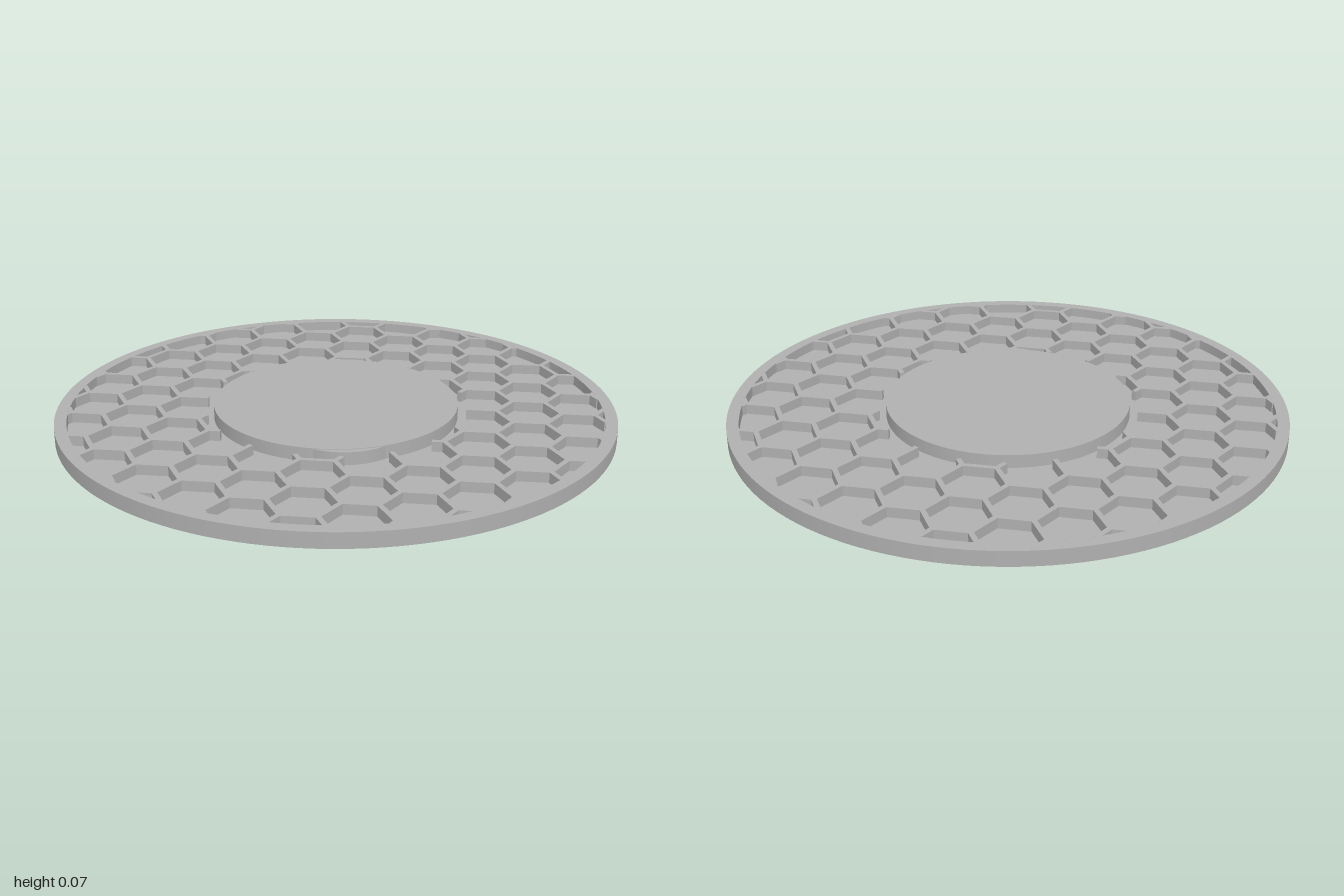
import * as THREE from 'three';
import { mergeGeometries } from 'three/addons/utils/BufferGeometryUtils.js';

const FLOOR = 0.018, RIM_TOP = 0.054, DISC_TOP = 0.066;
const RIM_INNER = 0.957, RIB_INNER = 0.47;
const PITCH = 0.2, SIDE = PITCH / Math.sqrt(3), HALF = 0.009;

// Revolve a profile, one band per segment, so its corners stay sharp
function revolve(profile, segments = 128) {
  const bands = [];
  for (let i = 0; i < profile.length - 1; i++) {
    const pts = [profile[i], profile[i + 1]].map(([r, y]) => new THREE.Vector2(r, y));
    bands.push(new THREE.LatheGeometry(pts, segments));
  }
  return mergeGeometries(bands);
}

const inRing = (p) => p.length() >= RIB_INNER && p.length() <= RIM_INNER + 0.004;

// Pull point p back towards q until it lies inside the honeycomb ring
function clip(p, q) {
  if (inRing(p)) return p;
  let lo = 0, hi = 1;
  for (let i = 0; i < 24; i++) {
    const t = (lo + hi) / 2;
    if (inRing(p.clone().lerp(q, t))) hi = t; else lo = t;
  }
  return p.clone().lerp(q, hi);
}

// One wall of a cell, with mitred ends that meet its neighbours at 120 degrees
function rib(p, q) {
  if (!inRing(p) && !inRing(q)) return null;
  const a = clip(p, q), b = clip(q, p);
  const u = b.clone().sub(a).normalize();
  const n = new THREE.Vector2(-u.y, u.x).multiplyScalar(HALF);
  const miter = HALF / Math.sqrt(3);
  const a2 = a.clone().addScaledVector(u, a === p ? miter : 0);
  const b2 = b.clone().addScaledVector(u, b === q ? -miter : 0);
  const shape = new THREE.Shape([
    a, a2.clone().sub(n), b2.clone().sub(n), b, b2.clone().add(n), a2.clone().add(n),
  ]);
  return new THREE.ExtrudeGeometry(shape, { depth: RIM_TOP - FLOOR, bevelEnabled: false });
}

function honeycomb() {
  const walls = [];
  for (let i = -7; i <= 7; i++) {
    for (let j = -7; j <= 7; j++) {
      const cx = i * SIDE * 1.5;
      const cy = (j + (i % 2 ? 0.5 : 0)) * PITCH;
      const corner = (k) => new THREE.Vector2(
        cx + SIDE * Math.cos(k * Math.PI / 3), cy + SIDE * Math.sin(k * Math.PI / 3));
      // Three walls per cell cover every shared wall once
      for (let k = 0; k < 3; k++) {
        const wall = rib(corner(k), corner(k + 1));
        if (wall) walls.push(wall);
      }
    }
  }
  return mergeGeometries(walls).rotateX(-Math.PI / 2).translate(0, FLOOR, 0);
}

export function createModel() {
  const group = new THREE.Group();
  const grey = new THREE.MeshStandardMaterial({ color: 0xb0b0b0 });
  grey.name = 'grey';
  const add = (name, geometry) => {
    const mesh = new THREE.Mesh(geometry, grey);
    mesh.name = name;
    group.add(mesh);
    return mesh;
  };

  // Round tray with a raised rim
  add('tray', revolve([
    [0, 0], [1, 0], [1, RIM_TOP], [RIM_INNER, RIM_TOP], [RIM_INNER, FLOOR], [0, FLOOR],
  ]));

  // Hexagonal ribs between the rim and the centre
  add('honeycombRibs', honeycomb());

  // Raised centre disc, with a slight bulge on its front right edge
  add('centreDisc', revolve([[0.44, FLOOR], [0.44, DISC_TOP], [0, DISC_TOP]]));
  const bulge = add('discBulge', revolve([[0.2, FLOOR], [0.2, DISC_TOP - 0.002], [0, DISC_TOP - 0.002]], 64));
  bulge.position.set(-0.192, 0, 0.18);

  return group;
}
